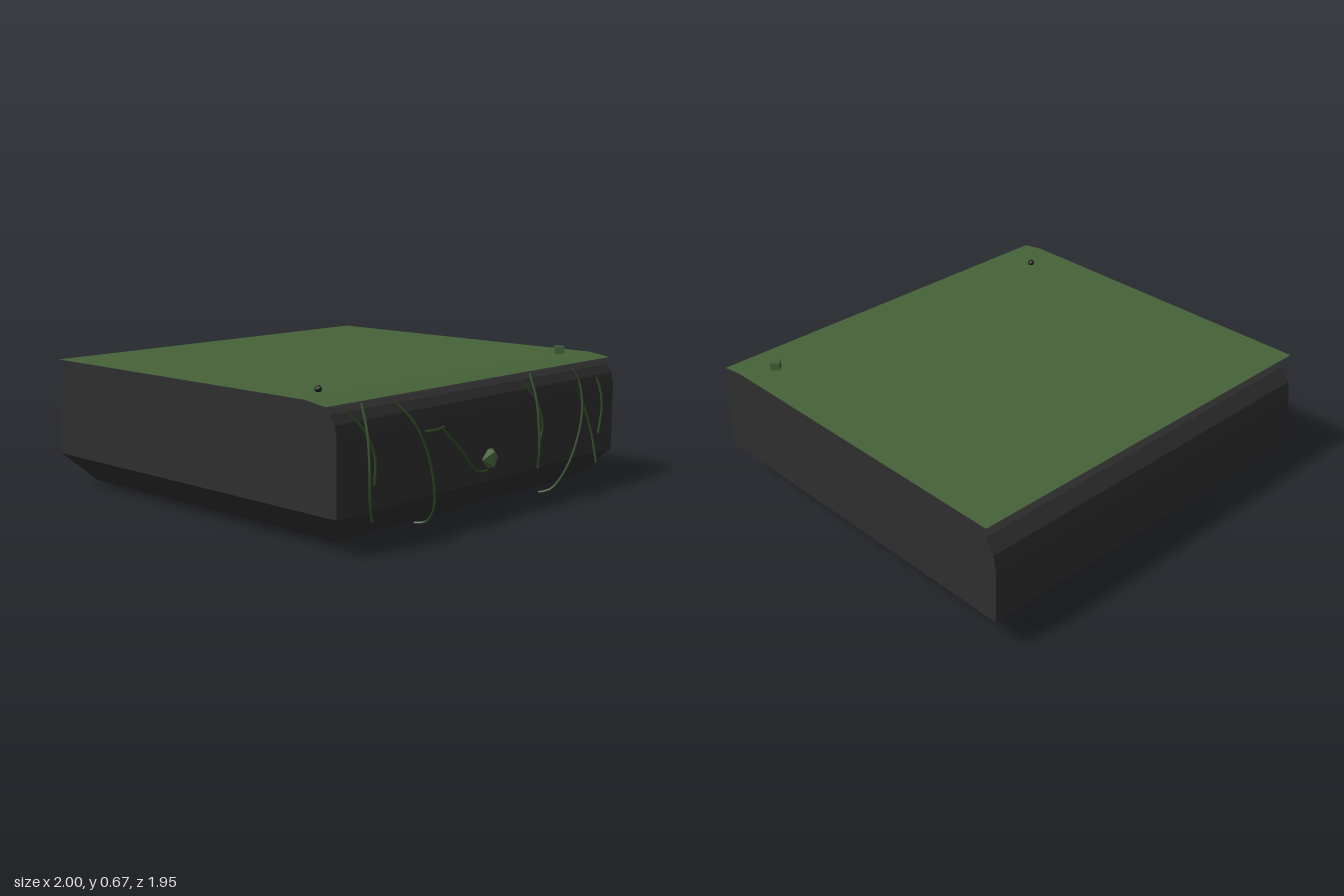
import * as THREE from 'three';

const mat = (name, color, extra = {}) => Object.assign(new THREE.MeshStandardMaterial({ color, ...extra }), { name });

export function createModel() {
  const group = new THREE.Group();
  const dark = mat('charcoal', 0x2e2e2e, { flatShading: true, side: THREE.DoubleSide });
  const green = mat('moss green', 0x466339, { flatShading: true, side: THREE.DoubleSide });
  const vineGreen = mat('vine green', 0x2f4a26);
  const black = mat('near black', 0x1c1f1c, { flatShading: true });
  const add = (name, geometry, material, x = 0, y = 0, z = 0) => {
    const mesh = new THREE.Mesh(geometry, material);
    mesh.name = name;
    mesh.position.set(x, y, z);
    group.add(mesh);
    return mesh;
  };

  // Main body: side profile (z, y) with rounded upper edges, swept across x
  const profile = [
    [0.895, 0.17], [0.895, 0.50], [0.885, 0.55], [0.86, 0.59], [0.82, 0.618], [0.75, 0.63],
    [-0.77, 0.63], [-0.85, 0.614], [-0.915, 0.57], [-0.96, 0.505], [-0.974, 0.43], [-0.974, 0.17],
  ].map(([z, y]) => new THREE.Vector2(z, y));
  const bodyGeo = new THREE.ExtrudeGeometry(new THREE.Shape(profile), { depth: 1.96, bevelEnabled: false });
  bodyGeo.translate(0, 0, -0.98).rotateY(-Math.PI / 2);
  add('body', bodyGeo, dark);

  // Tapered underside
  const base = new THREE.BoxGeometry(1.96, 0.135, 1.869).toNonIndexed();
  const bp = base.attributes.position;
  for (let i = 0; i < bp.count; i++) {
    if (bp.getY(i) < 0) {
      bp.setX(i, Math.sign(bp.getX(i)) * 0.86);
      bp.setZ(i, Math.sign(bp.getZ(i)) * 0.818);
    }
  }
  base.computeVertexNormals();
  add('taperedBase', base, dark, 0, 0.1025, -0.0395);

  // Top sheet, flat with a slightly drooping front lip, over a dark backing
  const sheet = (drop) => {
    const rows = [[-0.94, 0.638], [0.74, 0.638], [0.855, 0.622]];
    const g = new THREE.PlaneGeometry(2, 1, 1, 2).rotateX(-Math.PI / 2);
    const p = g.attributes.position;
    for (let i = 0; i < p.count; i++) {
      const [z, y] = rows[Math.floor(i / 2)];
      p.setY(i, y - drop);
      p.setZ(i, z);
    }
    g.computeVertexNormals();
    return g;
  };
  add('topSheet', sheet(0), green);
  add('sheetBacking', sheet(0.004), dark);

  // Small ornaments
  add('topPebble', new THREE.IcosahedronGeometry(0.018, 0), black, -0.82, 0.648, 0.635);
  add('topPost', new THREE.BoxGeometry(0.044, 0.045, 0.044), green, 0.845, 0.652, 0.665).rotation.y = Math.PI / 4;
  add('frontGem', new THREE.IcosahedronGeometry(0.066, 0), green, 0, 0.27, 0.865);

  // Vines hanging over the front
  const vines = [
    [[-0.79, 0.61, 0.85], [-0.83, 0.5, 0.92], [-0.865, 0.36, 0.965], [-0.868, 0.25, 0.97], [-0.84, 0.15, 0.955]],
    [[-0.895, 0.59, 0.87], [-0.83, 0.51, 0.905], [-0.78, 0.4, 0.915], [-0.77, 0.28, 0.905]],
    [[-0.6, 0.6, 0.85], [-0.53, 0.5, 0.91], [-0.45, 0.32, 0.93], [-0.39, 0.12, 0.9], [-0.37, 0.04, 0.84], [-0.39, 0.03, 0.79]],
    [[-0.37, 0.49, 0.88], [-0.24, 0.35, 0.92], [-0.12, 0.235, 0.915], [-0.01, 0.215, 0.89]],
    [[-0.46, 0.455, 0.9], [-0.4, 0.455, 0.91], [-0.33, 0.458, 0.9]],
    [[0.345, 0.61, 0.85], [0.305, 0.5, 0.92], [0.27, 0.36, 0.965], [0.268, 0.27, 0.97], [0.28, 0.19, 0.955]],
    [[0.24, 0.59, 0.87], [0.32, 0.5, 0.905], [0.365, 0.38, 0.915], [0.355, 0.27, 0.905]],
    [[0.69, 0.6, 0.85], [0.69, 0.51, 0.9], [0.66, 0.36, 0.93], [0.59, 0.15, 0.91], [0.54, 0.03, 0.85], [0.51, 0.01, 0.8]],
    [[0.66, 0.51, 0.89], [0.72, 0.42, 0.9], [0.765, 0.28, 0.92], [0.767, 0.14, 0.95]],
    [[0.825, 0.6, 0.85], [0.85, 0.5, 0.9], [0.855, 0.4, 0.915], [0.84, 0.27, 0.91]],
  ];
  vines.forEach((points, i) => {
    const curve = new THREE.CatmullRomCurve3(points.map((p) => new THREE.Vector3(...p)));
    add(`vine${i + 1}`, new THREE.TubeGeometry(curve, 24, 0.006, 6), vineGreen);
  });

  return group;
}
